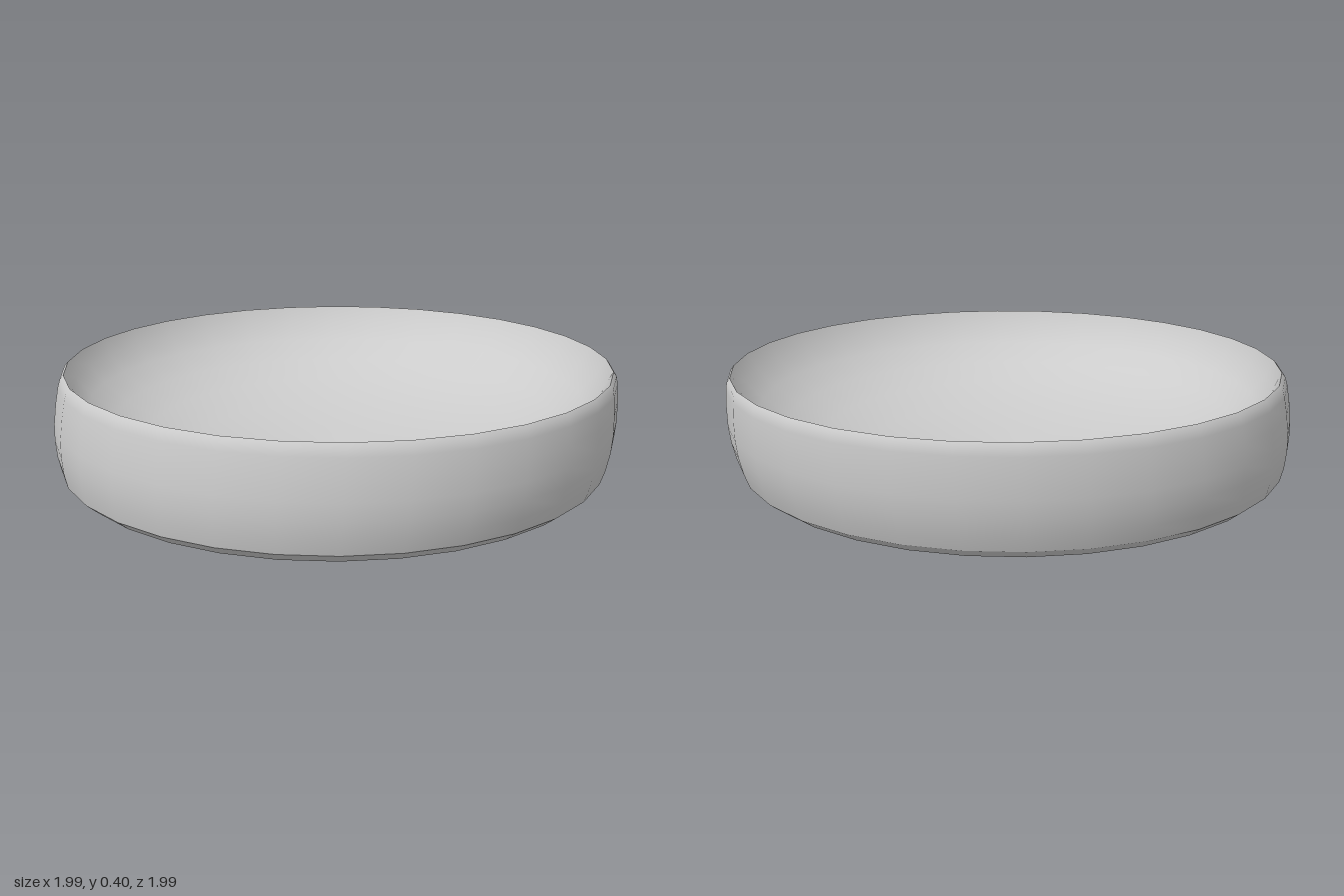
import * as THREE from 'three';

const SIDES = 32;
// Hand-made look: the dish leans slightly to its back left.
const LEAN = 0.06;
const LEAN_PIVOT = 0.2;
const lean = new THREE.Matrix4().makeShear(0, 0, LEAN, -LEAN, 0, 0)
  .setPosition(-LEAN * LEAN_PIVOT, 0, LEAN * LEAN_PIVOT);

// Each section is its own lathe, so edges between sections stay sharp.
function turned(name, profile, material) {
  const points = profile.map(([r, y]) => new THREE.Vector2(r, y));
  const mesh = new THREE.Mesh(new THREE.LatheGeometry(points, SIDES).applyMatrix4(lean), material);
  mesh.name = name;
  return mesh;
}

export function createModel() {
  const model = new THREE.Group();
  model.name = 'shallowDish';
  const material = new THREE.MeshStandardMaterial({ color: 0xcccccc });

  model.add(
    // slightly domed underside
    turned('underside', [[0, 0], [0.35, 0.006], [0.72, 0.014], [0.925, 0.026]], material),
    // narrow bevel around the foot
    turned('footBevel', [[0.925, 0.026], [0.968, 0.06]], material),
    // bulging outer wall
    turned('outerWall', [[0.968, 0.06], [0.983, 0.11], [0.993, 0.17], [0.996, 0.23],
      [0.992, 0.3], [0.985, 0.36], [0.979, 0.385], [0.967, 0.4]], material),
    // hollow, steep at the rim and easing towards the middle
    turned('bowl', [[0.967, 0.4], [0.938, 0.342], [0.88, 0.277], [0.79, 0.212], [0.67, 0.157],
      [0.5, 0.108], [0.27, 0.073], [0, 0.055]], material),
  );
  return model;
}
